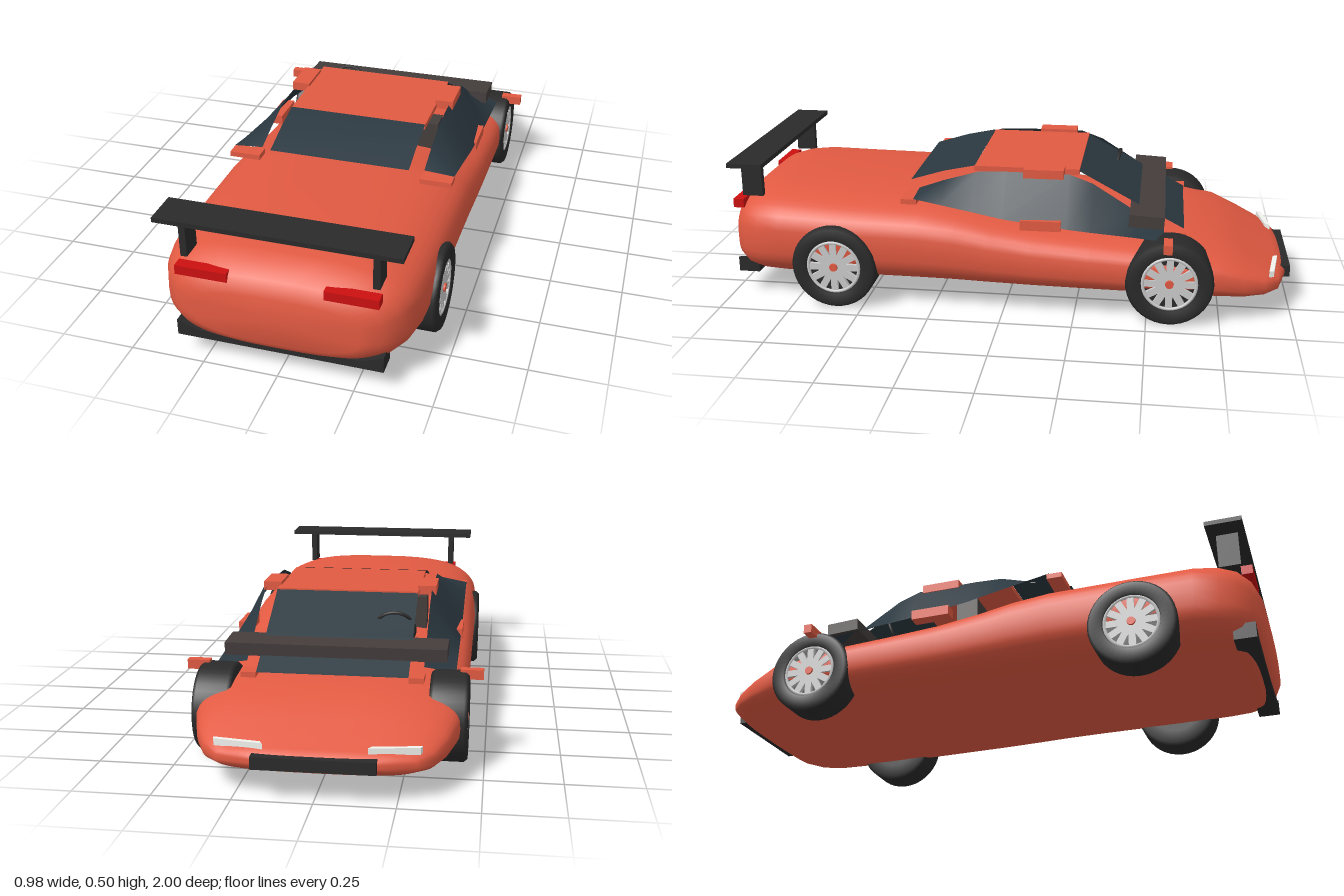
import * as THREE from 'three';

const mat = (color, side = THREE.FrontSide) => new THREE.MeshStandardMaterial({ color, side });

export function createModel() {
  const car = new THREE.Group();
  const red = mat(0xe25a42), black = mat(0x2a2a2b), trim = mat(0x443d3c), silver = mat(0xcccccc);
  const glass = mat(0x2b3840, THREE.DoubleSide), lamp = mat(0xcc1010), white = mat(0xf2f2ee);

  const add = (name, geometry, material, parent = car) => {
    const mesh = new THREE.Mesh(geometry, material);
    mesh.name = name;
    parent.add(mesh);
    return mesh;
  };
  // Box from its minimum and maximum corners
  const box = (name, material, x0, x1, y0, y1, z0, z1) => {
    const mesh = add(name, new THREE.BoxGeometry(x1 - x0, y1 - y0, z1 - z0), material);
    mesh.position.set((x0 + x1) / 2, (y0 + y1) / 2, (z0 + z1) / 2);
    return mesh;
  };
  const pair = (name, material, x0, x1, ...rest) => {
    box(name + 'Left', material, x0, x1, ...rest);
    box(name + 'Right', material, -x1, -x0, ...rest);
  };

  // Body: rounded sections lofted from tail to nose [z, half width, bottom, top]
  const stations = [
    [1, 0, 0.21, 0.21], [1, 0.27, 0.125, 0.295], [0.975, 0.335, 0.09, 0.345],
    [0.935, 0.38, 0.067, 0.378], [0.88, 0.408, 0.06, 0.393], [0.8, 0.425, 0.06, 0.399],
    [0.6, 0.433, 0.06, 0.393], [0.3, 0.435, 0.06, 0.388], [0.17, 0.435, 0.06, 0.372],
    [0.05, 0.435, 0.06, 0.345], [-0.1, 0.435, 0.06, 0.32], [-0.3, 0.435, 0.06, 0.303],
    [-0.5, 0.435, 0.06, 0.29], [-0.62, 0.433, 0.06, 0.278], [-0.74, 0.422, 0.06, 0.255],
    [-0.83, 0.395, 0.06, 0.213], [-0.9, 0.36, 0.067, 0.178], [-0.95, 0.31, 0.08, 0.155],
    [-0.98, 0.2, 0.1, 0.14], [-0.98, 0, 0.12, 0.12],
  ];
  const ring = 48, pos = [], index = [];
  const soft = v => Math.sign(v) * Math.abs(v) ** (2 / 3);
  stations.forEach(([z, w, bottom, top], i) => {
    for (let j = 0; j < ring; j++) {
      const t = (j / ring) * Math.PI * 2;
      pos.push(w * soft(Math.cos(t)), (top + bottom) / 2 + (top - bottom) / 2 * soft(Math.sin(t)), z);
      if (i === stations.length - 1) continue;
      const a = i * ring + j, b = i * ring + (j + 1) % ring;
      index.push(a, a + ring, b, b, a + ring, b + ring);
    }
  });
  const bodyGeo = new THREE.BufferGeometry();
  bodyGeo.setAttribute('position', new THREE.Float32BufferAttribute(pos, 3));
  bodyGeo.setIndex(index);
  bodyGeo.computeVertexNormals();
  add('body', bodyGeo, red);

  // Strip of quads between two rails of [x, y, z] points
  const strip = (railA, railB) => {
    const p = [], f = [];
    railA.forEach((a, i) => {
      p.push(...a, ...railB[i]);
      if (i) f.push(2 * i - 2, 2 * i - 1, 2 * i, 2 * i, 2 * i - 1, 2 * i + 1);
    });
    const g = new THREE.BufferGeometry();
    g.setAttribute('position', new THREE.Float32BufferAttribute(p, 3));
    g.setIndex(f);
    g.computeVertexNormals();
    return g;
  };

  // Cabin: side windows lean from the sills to the roof [z, top, bottom]
  const windowLine = [
    [0.31, 0.413, 0.405], [0.22, 0.445, 0.388], [0.1, 0.48, 0.365], [0, 0.484, 0.345],
    [-0.22, 0.482, 0.318], [-0.3, 0.453, 0.311], [-0.45, 0.36, 0.3], [-0.55, 0.305, 0.29],
  ];
  for (const s of [1, -1]) {
    add(s > 0 ? 'sideWindowLeft' : 'sideWindowRight', strip(
      windowLine.map(([z, top]) => [s * 0.295, top, z]),
      windowLine.map(([z, , low]) => [s * 0.4, low, z])), glass);
  }

  // Windscreen, roof and rear window form one band across the cabin
  const band = points => strip(points.map(([z, y]) => [-0.25, y, z]), points.map(([z, y]) => [0.25, y, z]));
  add('windscreen', band([[-0.62, 0.287], [-0.45, 0.375], [-0.25, 0.482]]), glass);
  add('rearWindow', band([[0.12, 0.488], [0.23, 0.465], [0.35, 0.428]]), glass);
  box('roof', red, -0.25, 0.25, 0.468, 0.487, -0.25, 0.12);

  // Red frame pieces around the side windows
  pair('roofPillar', red, 0.245, 0.31, 0.467, 0.498, -0.2, -0.06);
  pair('sillPillar', red, 0.36, 0.405, 0.31, 0.345, -0.2, -0.06);
  pair('rearPillar', red, 0.29, 0.4, 0.385, 0.403, 0.3, 0.355);
  pair('frontPillar', red, 0.25, 0.3, 0.27, 0.288, -0.625, -0.56);

  // Cowl bar across the foot of the windscreen
  const cowl = box('cowlBar', trim, -0.37, 0.37, 0.325, 0.368, -0.55, -0.43);
  cowl.rotation.x = -0.05;

  // Interior
  pair('seat', trim, 0.075, 0.27, 0.28, 0.43, -0.08, 0);
  const wheelRim = add('steeringWheel', new THREE.TorusGeometry(0.068, 0.006, 8, 28), black);
  wheelRim.position.set(-0.18, 0.378, -0.353);
  wheelRim.rotation.x = -0.35;

  // Rear wing
  box('wingBlade', black, -0.395, 0.395, 0.488, 0.504, 0.85, 0.975);
  pair('wingStrut', black, 0.298, 0.32, 0.365, 0.49, 0.878, 0.952);

  // Rear bumper lip, turned up at both ends
  const lip = new THREE.Shape([[-0.34, 0.08], [0.34, 0.08], [0.34, 0.135], [0.27, 0.11], [0.12, 0.1],
    [-0.12, 0.1], [-0.27, 0.11], [-0.34, 0.135]].map(p => new THREE.Vector2(...p)));
  const lipMesh = add('rearBumper', new THREE.ExtrudeGeometry(lip, { depth: 0.075, bevelEnabled: false }), black);
  lipMesh.position.z = 0.905;

  // Nose grille, lamps and mirrors
  box('noseGrille', black, -0.19, 0.19, 0.102, 0.142, -1, -0.94);
  pair('tailLamp', lamp, 0.155, 0.327, 0.32, 0.352, 0.95, 0.988);
  pair('mirror', red, 0.415, 0.49, 0.278, 0.31, -0.58, -0.55);
  for (const s of [1, -1]) {
    const shape = new THREE.Shape([[0.16, 0.955], [0.315, 0.932], [0.32, 0.915], [0.17, 0.938]]
      .map(([x, y]) => new THREE.Vector2(s * x, y)));
    const light = add(s > 0 ? 'headlampLeft' : 'headlampRight',
      new THREE.ExtrudeGeometry(shape, { depth: 0.022, bevelEnabled: false }), white);
    light.rotation.x = -Math.PI / 2;
    light.position.y = 0.148;
  }

  // Wheels: axis along the group's local y, outer face at +y
  const tyreProfile = [[0.095, -0.062], [0.14, -0.062], [0.15, -0.05], [0.15, 0.05], [0.14, 0.062],
    [0.1, 0.062], [0.095, 0.05], [0.095, -0.062]].map(p => new THREE.Vector2(...p));
  const makeWheel = (name, s, z) => {
    const wheel = new THREE.Group();
    wheel.name = name;
    add('tyre', new THREE.LatheGeometry(tyreProfile, 40), black, wheel);
    add('rimBack', new THREE.CylinderGeometry(0.096, 0.096, 0.1, 32), black, wheel).position.y = -0.008;
    const rim = add('rimRing', new THREE.TorusGeometry(0.091, 0.006, 6, 36), silver, wheel);
    rim.rotation.x = Math.PI / 2;
    rim.position.y = 0.053;
    for (let i = 0; i < 12; i++) {
      const a = (i / 12) * Math.PI * 2;
      const spoke = add('spoke', new THREE.BoxGeometry(0.075, 0.014, 0.024), silver, wheel);
      spoke.position.set(Math.cos(a) * 0.052, 0.048, -Math.sin(a) * 0.052);
      spoke.rotation.y = a;
    }
    add('hubCap', new THREE.CylinderGeometry(0.014, 0.016, 0.018, 16), red, wheel).position.y = 0.052;
    wheel.rotation.z = -s * Math.PI / 2;
    wheel.position.set(s * 0.383, 0.152, z);
    car.add(wheel);
  };
  for (const s of [1, -1]) {
    const side = s > 0 ? 'Left' : 'Right';
    makeWheel('rearWheel' + side, s, 0.595);
    makeWheel('frontWheel' + side, s, -0.575);
  }
  return car;
}
